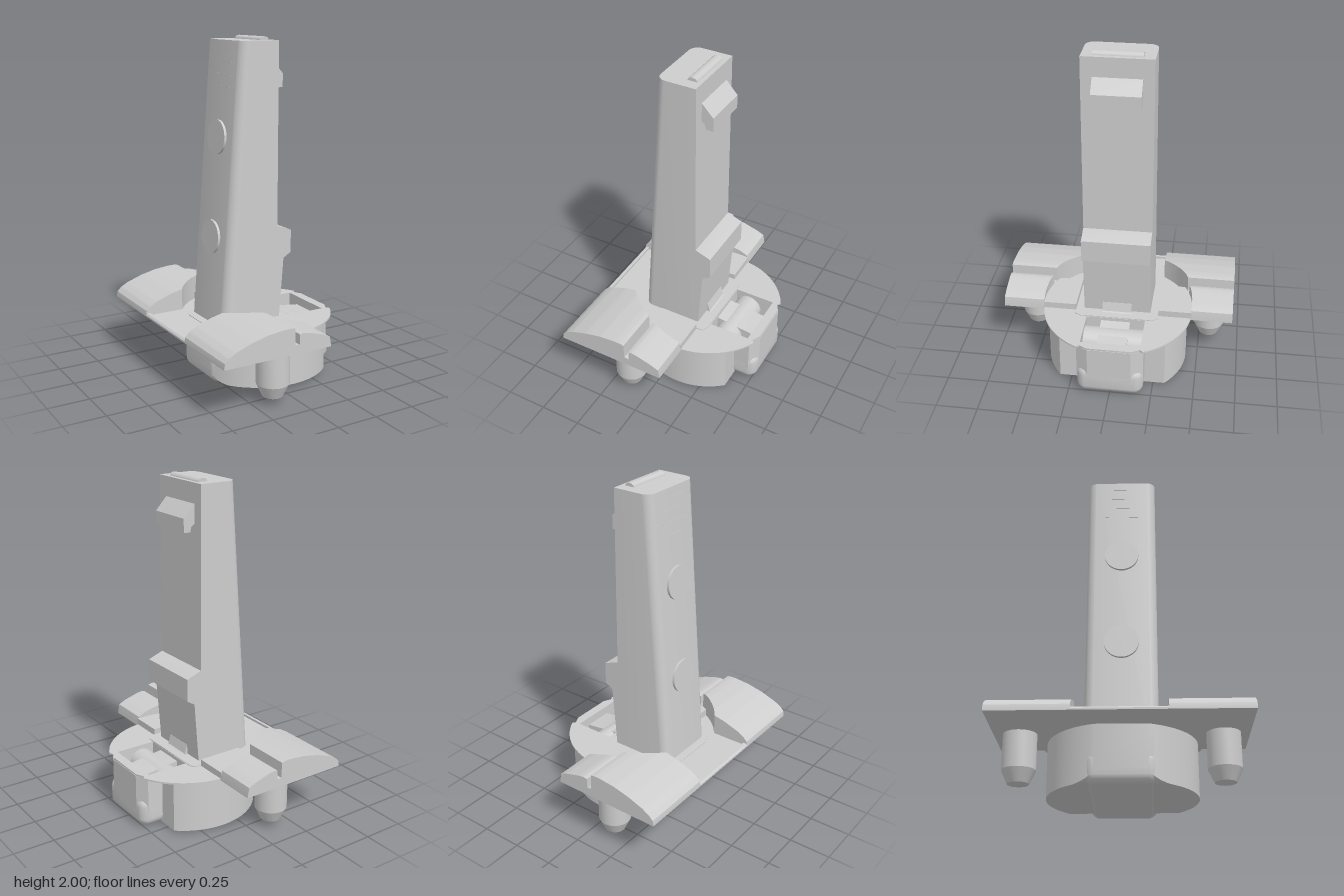
import * as THREE from 'three';
import { toCreasedNormals } from 'three/addons/utils/BufferGeometryUtils.js';
import { RoundedBoxGeometry } from 'three/addons/geometries/RoundedBoxGeometry.js';

const CX = 0.1; // centre of the round base
const range = (a, b, n) => Array.from({ length: n + 1 }, (_, i) => a + (b - a) * i / n);

// Piecewise linear profile lookup
function lerpProfile(p, x) {
  for (let i = 1; i < p.length; i++) {
    if (x <= p[i][0]) {
      const t = (x - p[i - 1][0]) / (p[i][0] - p[i - 1][0]);
      return p[i - 1][1] + t * (p[i][1] - p[i - 1][1]);
    }
  }
  return p[p.length - 1][1];
}

// Loft of rectangular sections along x; section(x) gives [y0, y1, z0, z1]
function loft(xs, section) {
  const pos = [], idx = [];
  for (const x of xs) {
    const [y0, y1, z0, z1] = section(x);
    pos.push(x, y0, z0, x, y0, z1, x, y1, z1, x, y1, z0);
  }
  for (let i = 0; i < xs.length - 1; i++) {
    for (let k = 0; k < 4; k++) {
      const p = i * 4 + k, q = i * 4 + (k + 1) % 4;
      idx.push(p, p + 4, q + 4, p, q + 4, q);
    }
  }
  const e = (xs.length - 1) * 4;
  idx.push(0, 1, 2, 0, 2, 3, e + 3, e + 2, e + 1, e + 3, e + 1, e);
  const g = new THREE.BufferGeometry();
  g.setAttribute('position', new THREE.Float32BufferAttribute(pos, 3));
  g.setIndex(idx);
  return g;
}

// Front profile extruded symmetrically along z
function slab(points, halfWidth) {
  const s = new THREE.Shape(points.map(p => new THREE.Vector2(...p)));
  return new THREE.ExtrudeGeometry(s, { depth: 2 * halfWidth, bevelEnabled: false }).translate(0, 0, -halfWidth);
}

export function createModel() {
  const group = new THREE.Group();
  const grey = new THREE.MeshStandardMaterial({ color: 0xcdcdce });
  grey.name = 'plain light grey';

  function add(name, geometry, crease = 0.5) {
    const mesh = new THREE.Mesh(toCreasedNormals(geometry, crease), grey);
    mesh.name = name;
    group.add(mesh);
    return mesh;
  }
  // A loft on both sides, z measured outwards
  function addPair(name, xs, section) {
    add(name + 'Left', loft(xs, section));
    add(name + 'Right', loft(xs, x => {
      const [a, b, c, d] = section(x);
      return [a, b, -d, -c];
    }));
  }

  // Base drum with a rounded lower end and an open pocket
  const circle = (x, r) => Math.sqrt(Math.max(0, r * r - (x - CX) ** 2));
  const R = 0.07;
  const bottom = x => {
    const d = Math.max(-0.305 + R - x, 0);
    return 0.01 + R - Math.sqrt(Math.max(0, R * R - d * d));
  };
  const drumW = x => circle(x, 0.43);
  add('drum', loft([...range(-0.305, -0.235, 10), ...range(-0.22, 0.213, 24)],
    x => [bottom(x), 0.325, -drumW(x), drumW(x)]));
  add('drumFloor', loft(range(0.213, 0.388, 10), x => [0.01, 0.17, -drumW(x), drumW(x)]));
  addPair('drumWall', range(0.213, 0.388, 10), x => [0.17, 0.325, 0.18, drumW(x)]);

  // Rounded bar through the base, with the walls of its protruding end
  add('baseBar', new RoundedBoxGeometry(0.83, 0.19, 0.4, 6, 0.06).translate(0.11, 0.095, 0));
  const endW = x => (x < 0.485 ? 0.2 : 0.2 - 1.75 * (x - 0.485));
  addPair('barWall', [0.385, 0.47], () => [0.1, 0.325, 0.18, 0.2]);
  add('barEnd', loft([0.465, 0.485, 0.525], x => [0.1, 0.325, -endW(x), endW(x)]));

  // Thin top plate with the pocket opening
  const plate = new THREE.Shape();
  plate.moveTo(0.522, -0.13);
  plate.lineTo(0.522, 0.13);
  plate.lineTo(0.497, 0.18);
  plate.absarc(CX, 0, 0.457, 0.448, 2.073, false);
  plate.absarc(CX, 0, 0.417, 2.127, 2.823, false);
  plate.absarc(CX, 0, 0.417, 2 * Math.PI - 2.823, 2 * Math.PI - 2.127, false);
  plate.absarc(CX, 0, 0.457, 2 * Math.PI - 2.073, 2 * Math.PI - 0.448, false);
  plate.lineTo(0.497, -0.18);
  const hole = [[0.213, -0.18], [0.213, 0.18], [0.465, 0.18], [0.465, -0.18]];
  plate.holes.push(new THREE.Path(hole.map(p => new THREE.Vector2(...p))));
  add('topPlate', new THREE.ExtrudeGeometry(plate, { depth: 0.01, bevelEnabled: false, curveSegments: 32 })
    .rotateX(-Math.PI / 2).translate(0, 0.325, 0));
  add('armPad', loft([-0.12, 0.19, 0.21], x => {
    const z = x > 0.2 ? 0.22 : 0.255;
    return [0.33, 0.34, -z, z];
  }));

  // Hinge axle and lever in the pocket
  add('axle', new THREE.CylinderGeometry(0.085, 0.085, 0.36, 32).rotateX(Math.PI / 2).translate(0.298, 0.225, 0));
  add('lever', slab([[0.11, 0.2], [0.48, 0.2], [0.48, 0.28], [0.21, 0.315], [0.155, 0.345], [0.14, 0.4], [0.11, 0.4]], 0.09));

  // Side wings with a groove, cut out around the drum
  const wing = [[-0.525, 0.335], [-0.52, 0.36], [-0.495, 0.385], [-0.45, 0.41], [-0.35, 0.445], [-0.25, 0.468],
    [-0.15, 0.478], [-0.11, 0.478], [-0.085, 0.473], [-0.083, 0.38], [-0.055, 0.375],
    [-0.053, 0.434], [-0.03, 0.438], [0, 0.434], [0.1, 0.405], [0.145, 0.385], [0.155, 0.33]];
  const inner = x => Math.max(0.255, circle(x, 0.457));
  const wingXs = [...new Set([...wing.map(p => p[0]), ...range(-0.5, 0.14, 32)])].sort((a, b) => a - b);
  addPair('wing', wingXs, x => [0.325, lerpProfile(wing, x), inner(x), 0.707]);
  addPair('wingLedge', range(-0.12, 0.153, 14), x => [0.325, 0.375, 0.255, inner(x) + 0.005]);
  add('wingBridge', loft([-0.525, ...range(-0.5, -0.12, 20)], x => [0.325, 0.331, -inner(x) - 0.002, inner(x) + 0.002]));
  add('wingFrontEdge', loft([-0.525, -0.515, -0.497], x => [0.325, x < -0.52 ? 0.335 : 0.345, -0.256, 0.256]));

  // Tapered pegs below the wings
  for (const s of [1, -1]) {
    const profile = [[0, 0.045], [0.06, 0.045], [0.095, 0.12], [0.095, 0.33]];
    add('peg', new THREE.LatheGeometry(profile.map(p => new THREE.Vector2(...p)), 32)
      .translate(-0.133, 0, s * 0.56), 0.3);
  }

  // Leaning upright arm with rounded back edges
  const slope = 0.0762, y0 = 0.33, y1 = 1.98;
  const backX = y => -0.12 - slope * (y1 - y);
  const r = 0.055, w = 0.205;
  const plan = new THREE.Shape();
  plan.moveTo(0.118, -w);
  plan.lineTo(0.118, w);
  plan.lineTo(r, w);
  plan.absarc(r, w - r, r, Math.PI / 2, Math.PI, false);
  plan.absarc(r, -w + r, r, Math.PI, Math.PI * 1.5, false);
  const arm = new THREE.ExtrudeGeometry(plan, { depth: y1 - y0, bevelEnabled: false, curveSegments: 10 })
    .rotateX(-Math.PI / 2).translate(0, y0, 0);
  const p = arm.attributes.position;
  for (let i = 0; i < p.count; i++) {
    if (p.getX(i) < 0.1) p.setX(i, p.getX(i) + backX(p.getY(i)));
  }
  add('arm', arm);
  add('armStep', slab([[0.1, 0.33], [0.133, 0.33], [0.163, 0.71], [0.213, 0.74], [0.213, 0.875], [0.118, 0.91], [0.1, 0.91]], w));

  // Hook and rounded bar near the top
  add('hook', slab([[0.11, 1.76], [0.138, 1.74], [0.145, 1.71], [0.188, 1.71], [0.188, 1.79], [0.118, 1.865], [0.11, 1.865]], 0.14));
  add('topBar', loft(range(0.032, 0.092, 12), x => [1.975, 1.98 + 0.02 * Math.sqrt(Math.max(0, 1 - ((x - 0.062) / 0.03) ** 2)), -0.14, 0.14]), 0.9);

  // Round buttons and scale marks on the back
  const tilt = Math.atan(slope);
  for (const y of [0.845, 1.43]) {
    const button = add('button', new THREE.CylinderGeometry(0.1, 0.1, 0.03, 40));
    button.rotation.z = Math.PI / 2 - tilt;
    button.position.set(backX(y), y, 0);
  }
  for (const y of [1.72, 1.79, 1.86, 1.93]) {
    const mark = add('scaleMark', new THREE.BoxGeometry(0.004, 0.005, 0.2));
    mark.rotation.z = -tilt;
    mark.position.set(backX(y), y, 0);
  }
  return group;
}
